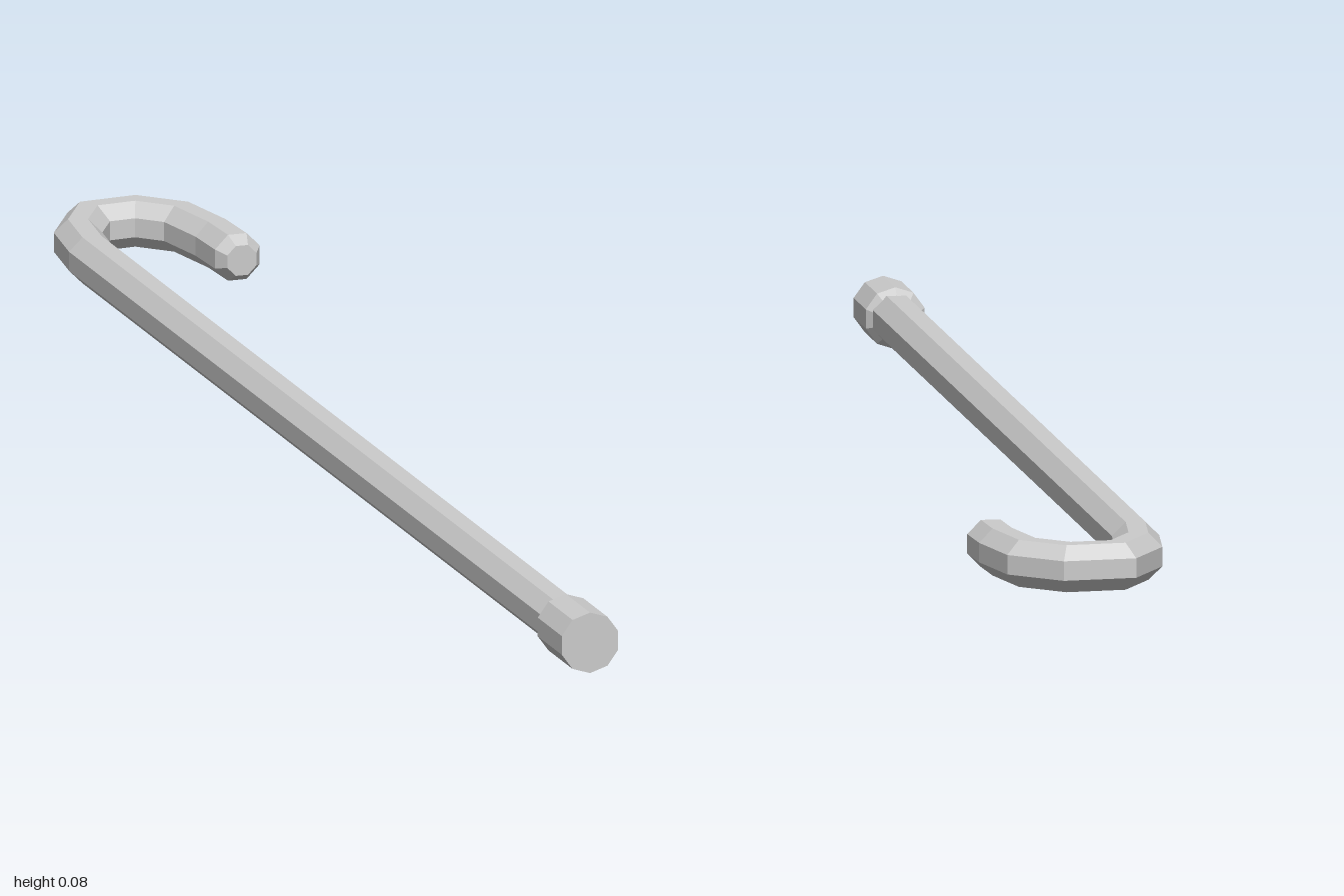
import * as THREE from 'three';

const AXIS_Y = 0.0375;
const SHAFT_X = -0.081;
const SIDES = 8;

// Sweeps a faceted ring along points [x, z, radius] in the ground plane, mitred at each bend.
function sweepRod(path) {
  const pts = path.map(([x, z]) => new THREE.Vector2(x, z));
  const positions = [];
  const index = [];
  path.forEach(([x, z, radius], i) => {
    const last = path.length - 1;
    const before = pts[Math.max(i, 1)].clone().sub(pts[Math.max(i - 1, 0)]).normalize();
    const after = pts[Math.min(i + 1, last)].clone().sub(pts[Math.min(i, last - 1)]).normalize();
    const tangent = before.clone().add(after).normalize();
    const mitre = 1 / tangent.dot(before);
    for (let j = 0; j < SIDES; j++) {
      const a = ((j + 0.5) / SIDES) * Math.PI * 2;
      const across = Math.cos(a) * radius * mitre;
      positions.push(x + tangent.y * across, AXIS_Y + Math.sin(a) * radius, z - tangent.x * across);
      if (i < last) {
        const k = (j + 1) % SIDES;
        const p = i * SIDES + j;
        const q = i * SIDES + k;
        index.push(p, q, q + SIDES, p, q + SIDES, p + SIDES);
      }
    }
  });
  // End caps
  const end = (path.length - 1) * SIDES;
  for (let j = 1; j < SIDES - 1; j++) {
    index.push(0, j + 1, j, end, end + j, end + j + 1);
  }
  const geometry = new THREE.BufferGeometry();
  geometry.setAttribute('position', new THREE.Float32BufferAttribute(positions, 3));
  geometry.setIndex(index);
  const flat = geometry.toNonIndexed();
  flat.computeVertexNormals();
  return flat;
}

export function createModel() {
  const group = new THREE.Group();
  group.name = 'walkingCane';
  const material = new THREE.MeshStandardMaterial({ color: 0xcccccc, flatShading: true });

  // Straight shaft running into the hooked handle, with a bevelled end
  const r = 0.0308;
  const rod = new THREE.Mesh(sweepRod([
    [SHAFT_X, 0.95, r],
    [SHAFT_X, -0.82, r],
    [-0.071, -0.9, r],
    [-0.036, -0.962, r],
    [0.025, -0.968, r],
    [0.068, -0.925, r],
    [0.084, -0.84, r],
    [0.087, -0.775, r],
    [0.087, -0.758, 0.02],
  ]), material);
  rod.name = 'shaftAndHookedHandle';
  group.add(rod);

  // Ten-sided foot cap with a short sloped shoulder
  const profile = [[0.029, 0.902], [0.0375, 0.912], [0.0375, 1], [0, 1]]
    .map(([x, y]) => new THREE.Vector2(x, y));
  const tip = new THREE.Mesh(new THREE.LatheGeometry(profile, 10), material);
  tip.name = 'footCap';
  tip.rotation.x = Math.PI / 2;
  tip.position.set(SHAFT_X, AXIS_Y, 0);
  group.add(tip);

  return group;
}
